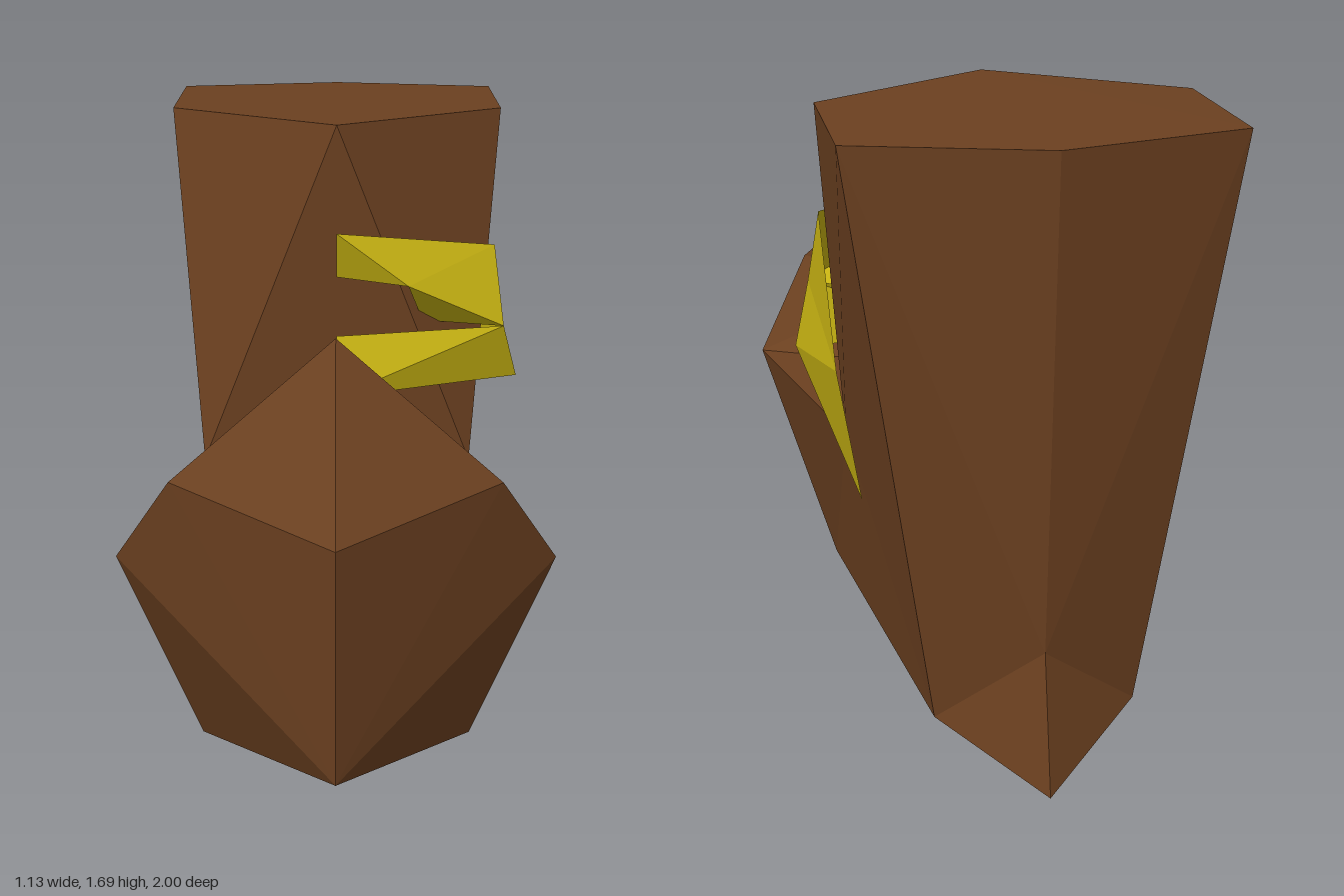
import * as THREE from 'three';

// Flat-shaded mesh from named points and space-separated triangles; mirrored across x = 0 if asked
function facetedMesh(name, points, faces, material, mirror) {
  const positions = [];
  for (const face of faces) {
    const corners = face.split(' ').map((key) => points[key]);
    for (const p of corners) positions.push(...p);
    if (mirror) for (const [x, y, z] of [...corners].reverse()) positions.push(-x, y, z);
  }
  const geometry = new THREE.BufferGeometry();
  geometry.setAttribute('position', new THREE.Float32BufferAttribute(positions, 3));
  geometry.computeVertexNormals();
  const mesh = new THREE.Mesh(geometry, material);
  mesh.name = name;
  return mesh;
}

export function createModel() {
  const leather = new THREE.MeshStandardMaterial({ color: 0x6b4020, flatShading: true });
  const gold = new THREE.MeshStandardMaterial({ color: 0xc4b012, flatShading: true, side: THREE.DoubleSide });

  // Half of the boot: centre line points have x = 0
  const boot = {
    topFront: [0, 1.695, -0.09], topSide: [0.48, 1.69, -0.42],
    topRear: [0.48, 1.685, -0.88], topBack: [0, 1.68, -1],
    ankle: [0, 0.9, -0.12], ankleSide: [0.39, 0.7, -0.13],
    instep: [0, 0.705, 0.33], ball: [0.565, 0.705, 0.6],
    curl: [0, 0.93, 0.6], tip: [0, 1.315, 0.69],
    toeSide: [0.41, 0.965, 0.745], toeFront: [0, 0.89, 1],
    toeLow: [0, 0.23, 0.93], soleSide: [0.37, 0.085, 0.4],
    sole: [0, 0.005, 0.34], heelLow: [0, 0.035, -1],
    heelSide: [0.26, 0.185, -0.81], heelBack: [0, 0.4, -0.92],
  };
  const bootFaces = [
    // opening and front of the shaft
    'topFront topSide topRear', 'topFront topRear topBack',
    'topSide topFront ankleSide', 'ankleSide topFront ankle',
    // instep and curled toe
    'ankleSide ankle instep', 'ankleSide instep ball',
    'ball instep curl', 'ball curl toeSide',
    'toeSide curl tip', 'toeSide tip toeFront',
    'toeSide toeFront toeLow', 'ball toeSide toeLow', 'ball toeLow soleSide',
    // sole
    'soleSide toeLow sole', 'soleSide sole heelLow', 'soleSide heelLow heelSide',
    // side and heel
    'heelSide heelLow heelBack', 'ankleSide ball soleSide', 'ankleSide soleSide heelSide',
    'ankleSide heelSide topRear', 'ankleSide topRear topSide',
    'topRear heelSide heelBack', 'topRear heelBack topBack',
  ];

  // Forked strap on the left side only
  const strap = {
    upperTip: [0, 1.415, 0.02], upperInner: [0, 1.28, -0.03], upperLow: [0.2, 1.265, 0.015],
    bendTop: [0.45, 1.345, -0.15], bend: [0.475, 1.13, -0.06], bendLow: [0.52, 0.965, -0.12],
    lowerTop: [0, 1.09, -0.09], lowerTip: [0, 0.925, -0.03], inner: [0.25, 1.11, -0.19],
    endTop: [0.475, 1.1, -0.72], endLow: [0.42, 0.76, -0.72],
  };
  const strapFaces = [
    // upper prong
    'upperTip upperLow bendTop', 'upperLow bend bendTop',
    'upperTip upperInner upperLow', 'upperLow inner bend',
    // lower prong
    'lowerTop lowerTip bend', 'lowerTip bendLow bend',
    // side band
    'bendTop bend endTop', 'bend bendLow endTop', 'bendLow endLow endTop',
  ];

  const group = new THREE.Group();
  group.name = 'boot';
  group.add(
    facetedMesh('bootBody', boot, bootFaces, leather, true),
    facetedMesh('forkedStrap', strap, strapFaces, gold, false),
  );
  return group;
}
